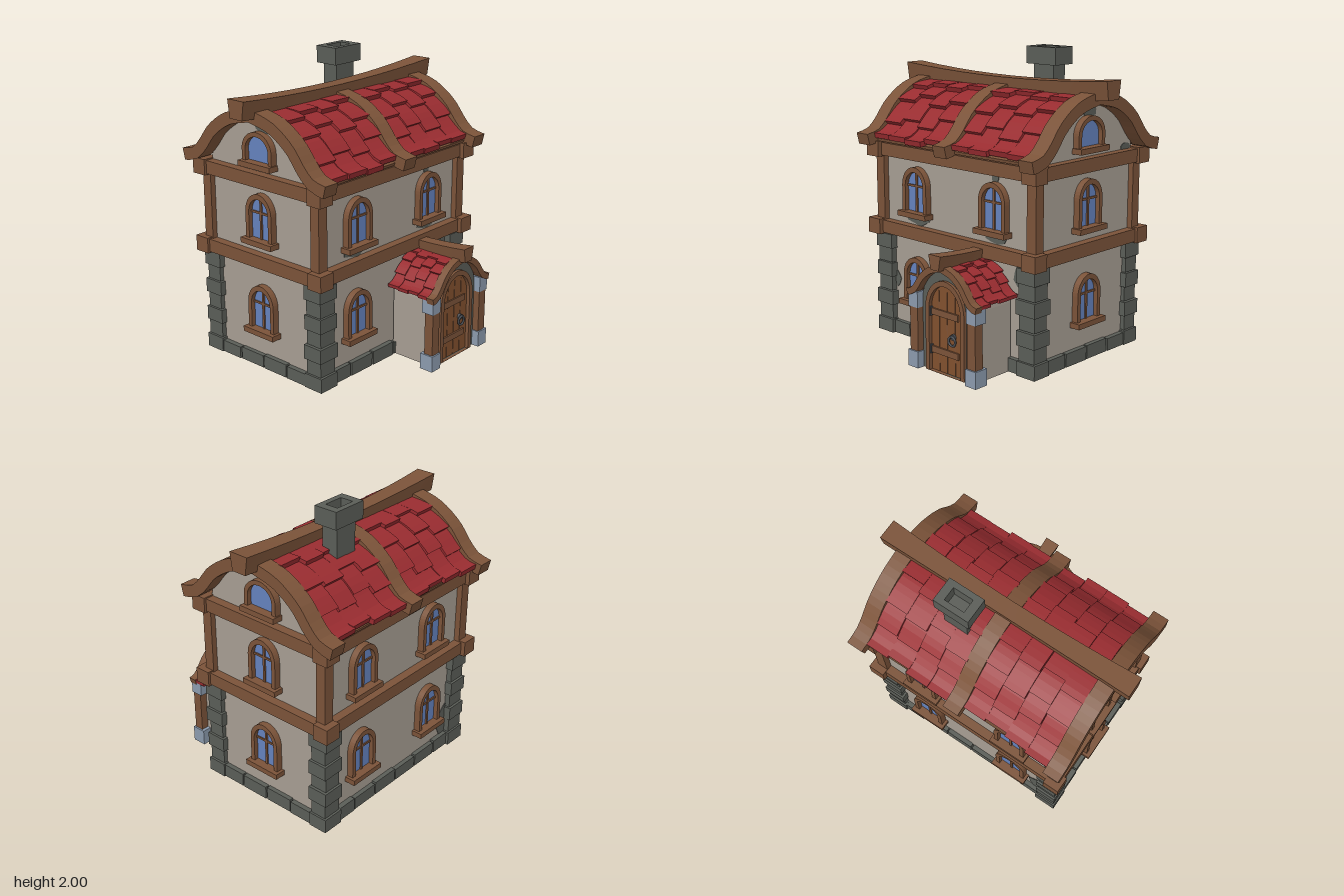
import * as THREE from 'three';

const paint = (hex) => new THREE.MeshStandardMaterial({ color: hex });
const V = (x, y) => new THREE.Vector2(x, y);

export function createModel() {
  const mats = {
    plaster: paint(0xa69d92), wood: paint(0x7b5339), doorWood: paint(0x81502e), tile: paint(0x992c30),
    stone: paint(0x5a5d57), paleStone: paint(0x8b9aad), glass: paint(0x6482bd), iron: paint(0x4b4f55),
  };
  for (const key in mats) mats[key].name = key;
  const house = new THREE.Group();
  house.name = 'house';
  const CX = -0.145, HX = 0.475, HZ = 0.69; // house centre and half sizes

  let seed = 7;
  const rnd = (a, b) => {
    seed = (seed * 16807) % 2147483647;
    return a + (b - a) * (seed / 2147483647);
  };
  const add = (parent, name, geo, mat, x = 0, y = 0, z = 0) => {
    const m = new THREE.Mesh(geo, mat);
    m.name = name;
    m.position.set(x, y, z);
    parent.add(m);
    return m;
  };
  const box = (parent, name, mat, w, h, d, x, y, z) => add(parent, name, new THREE.BoxGeometry(w, h, d), mat, x, y, z);
  const group = (name, x, y, z, ry, parent = house) => {
    const g = new THREE.Group();
    g.name = name;
    g.position.set(x, y, z);
    g.rotation.y = ry;
    parent.add(g);
    return g;
  };
  const extrude = (shape, depth) => new THREE.ExtrudeGeometry(shape, { depth, bevelEnabled: false, curveSegments: 10 });

  // Round-topped outline with half width w
  const arch = (w, y0, spring, top) => {
    const s = new THREE.Shape();
    s.moveTo(-w, y0);
    s.lineTo(w, y0);
    s.lineTo(w, spring);
    s.absellipse(0, spring, w, top - spring, 0, Math.PI, false);
    s.closePath();
    return s;
  };
  const archRing = (outer, inner, depth) => {
    const s = arch(...outer);
    s.holes.push(arch(...inner));
    return extrude(s, depth);
  };

  // Curved slab that follows a roof profile; side is 1 or -1
  const band = (curve, t0, t1, lift0, lift1, thick, depth, side) => {
    const outer = [], inner = [], n = Math.max(3, Math.ceil((t1 - t0) * 14));
    for (let i = 0; i <= n; i++) {
      const t = t0 + (t1 - t0) * i / n, p = curve.getPointAt(t), d = curve.getTangentAt(t);
      const lift = lift0 + (lift1 - lift0) * i / n;
      outer.push(V(side * (p.x - d.y * lift), p.y + d.x * lift));
      inner.push(V(side * (p.x - d.y * (lift - thick)), p.y + d.x * (lift - thick)));
    }
    return extrude(new THREE.Shape([...outer, ...inner.reverse()]), depth);
  };

  // Columns of overlapping shingles on both slopes
  const shingles = (parent, curve, z0, z1, columns, rows, end, sink, thick) => {
    const step = (z1 - z0) / columns;
    for (let c = 0; c < columns; c++) for (const side of [1, -1]) {
      const shift = (c % 2 ? 0.35 : -0.1) / rows * end;
      let t = 0;
      for (let r = 1; r <= rows; r++) {
        const t1 = r === rows ? end + rnd(-0.03, 0.03) : end * r / rows + shift * 0.6 + rnd(-0.03, 0.03);
        const w = step * rnd(0.96, 1.06);
        add(parent, 'roofTile', band(curve, Math.max(0, t - 0.03), t1, sink, sink + thick * rnd(0.7, 1.1), thick, w, side),
          mats.tile, 0, 0, z0 + step * (c + 0.5) - w / 2);
        t = t1;
      }
    }
  };

  // Beam with a trapezoid section whose ends rise and widen
  const saggingBeam = (len, h, wTop, wBottom, rise) => {
    const g = new THREE.BoxGeometry(1, h, len, 1, 1, 10), p = g.attributes.position;
    for (let i = 0; i < p.count; i++) {
      const k = (p.getZ(i) / (len / 2)) ** 2, y = p.getY(i);
      p.setX(i, p.getX(i) * (y > 0 ? wTop : wBottom) * (0.78 + 0.22 * k));
      p.setY(i, y + rise * k);
    }
    g.computeVertexNormals();
    return g;
  };

  // Arched window with sill and glazing bars; y is the sill bottom
  const addWindow = (face, x, y) => {
    const w = group('window', x, y, 0, 0, face);
    add(w, 'windowLining', extrude(arch(0.1, 0.02, 0.21, 0.33), 0.038), mats.stone, 0, 0, -0.034);
    add(w, 'windowFrame', archRing([0.115, 0.02, 0.21, 0.34], [0.085, 0.03, 0.21, 0.305], 0.045), mats.wood);
    add(w, 'windowGlass', extrude(arch(0.088, 0.03, 0.21, 0.308), 0.006), mats.glass, 0, 0, 0.008);
    box(w, 'glazingBar', mats.wood, 0.016, 0.28, 0.016, 0, 0.165, 0.016);
    box(w, 'glazingBar', mats.wood, 0.17, 0.014, 0.014, 0, 0.21, 0.016);
    box(w, 'windowSill', mats.wood, 0.27, 0.036, 0.08, 0, 0.018, 0.035);
  };

  // Bare stone showing through the plaster
  const addPatch = (face, x, y, w, h) => {
    const pts = [];
    for (let i = 0; i < 9; i++) {
      const a = i / 9 * Math.PI * 2, r = rnd(0.75, 1.1);
      pts.push(V(Math.cos(a) * w / 2 * r, Math.sin(a) * h / 2 * r));
    }
    add(face, 'barePatch', extrude(new THREE.Shape(pts), 0.004), mats.stone, x, y, 0);
  };

  const roofCurve = new THREE.SplineCurve([V(0, 1.765), V(0.2, 1.715), V(0.36, 1.61), V(0.46, 1.49), V(0.53, 1.425), V(0.63, 1.4)]);

  // Four sides: wall, plinth stones and floor beams
  const faces = [['front', CX, HZ, 0, HX], ['back', CX, -HZ, Math.PI, HX],
    ['left', CX + HX, 0, Math.PI / 2, HZ], ['right', CX - HX, 0, -Math.PI / 2, HZ]].map(([name, x, z, ry, half]) => {
    const f = group(name + 'Side', x, 0, z, ry);
    box(f, 'wall', mats.plaster, half * 2, 1.31, 0.03, 0, 0.67, -0.015);
    const n = half > 0.5 ? 6 : 4, span = half * 2 - 0.1, w = span / n;
    for (let i = 0; i < n; i++) {
      const h = rnd(0.08, 0.095);
      box(f, 'plinthStone', mats.stone, w - 0.01, h, 0.085, -span / 2 + w * (i + 0.5), 0.008 + h / 2, rnd(-0.014, -0.006));
    }
    for (const y of [0.763, 1.302]) box(f, 'floorBeam', mats.wood, half * 2 + 0.06, 0.088, 0.1, 0, y, 0.01);
    return f;
  });
  const [front, back, left, right] = faces;

  // Gable walls with attic windows
  const edge = [];
  for (let i = 0; i <= 12; i++) {
    const t = 0.78 * i / 12, p = roofCurve.getPointAt(t), d = roofCurve.getTangentAt(t);
    edge.push(V(p.x + d.y * 0.05, p.y - d.x * 0.05));
  }
  const gable = new THREE.Shape([...edge, V(HX, 1.3), V(-HX, 1.3), ...edge.slice(1).reverse().map((p) => V(-p.x, p.y))]);
  for (const f of [front, back]) {
    add(f, 'gableWall', extrude(gable, 0.03), mats.plaster, 0, 0, -0.03);
    add(f, 'atticFrame', archRing([0.13, 1.39, 1.49, 1.61], [0.1, 1.41, 1.49, 1.58], 0.045), mats.wood);
    add(f, 'atticGlass', extrude(arch(0.102, 1.405, 1.49, 1.583), 0.006), mats.glass, 0, 0, 0.008);
    box(f, 'atticSill', mats.wood, 0.28, 0.036, 0.08, 0, 1.398, 0.035);
    addPatch(f, 0.02, 1.64, 0.15, 0.1);
    addPatch(f, 0.4, 1.36, 0.1, 0.06);
    addWindow(f, 0, 0.25);
    addWindow(f, 0, 0.87);
  }
  for (const [f, x, y] of [[left, -0.35, 0.25], [left, -0.35, 0.87], [left, 0.36, 0.87],
    [right, -0.35, 0.25], [right, 0.35, 0.25], [right, -0.35, 0.87], [right, 0.35, 0.87]]) addWindow(f, x, y);
  for (const [f, x, y, w, h] of [[left, -0.35, 0.85, 0.22, 0.09], [left, 0.36, 0.85, 0.2, 0.09], [left, 0.36, 1.23, 0.06, 0.08],
    [left, 0.58, 0.64, 0.14, 0.18], [left, -0.58, 0.4, 0.08, 0.12], [right, 0.57, 0.2, 0.16, 0.26]]) addPatch(f, x, y, w, h);

  // Corners: stacked quoins, upper posts and beam joints
  for (const sx of [-1, 1]) for (const sz of [-1, 1]) {
    const c = group('corner', CX + sx * 0.455, 0, sz * 0.655, 0);
    let y = 0.005;
    for (let i = 0; i < 7; i++) {
      const h = 0.101, big = i % 2 ? 0 : 0.022;
      box(c, 'cornerStone', mats.stone, 0.112 + big + rnd(0, 0.012), h - 0.004, 0.125 + big + rnd(0, 0.012), 0, y + h / 2, 0);
      y += h;
    }
    box(c, 'cornerPost', mats.wood, 0.07, 0.46, 0.075, sx * 0.025, 1.035, sz * 0.035);
    for (const by of [0.763, 1.302]) box(c, 'beamJoint', mats.wood, 0.11, 0.106, 0.115, sx * 0.055, by, sz * 0.055);
  }

  // Main roof
  const roof = group('roof', CX, 0, 0, 0);
  for (const side of [1, -1]) {
    add(roof, 'roofDeck', band(roofCurve, 0, 0.9, -0.045, -0.045, 0.02, 1.38, side), mats.wood, 0, 0, -0.69);
    for (const z of [-0.795, -0.06, 0.68])
      add(roof, 'roofRib', band(roofCurve, 0, 1, 0, 0.008, 0.08, 0.112, side), mats.wood, 0, 0, z);
  }
  shingles(roof, roofCurve, -0.685, -0.055, 4, 4, 0.92, -0.03, 0.036);
  shingles(roof, roofCurve, 0.05, 0.68, 4, 4, 0.92, -0.03, 0.036);
  add(roof, 'ridgeBeam', saggingBeam(1.79, 0.12, 0.14, 0.105, 0.04), mats.wood, 0, 1.74, 0);

  // Chimney with hollow cap
  const chimney = group('chimney', -0.325, 0, -0.22, 0);
  box(chimney, 'chimneyShaft', mats.stone, 0.115, 0.38, 0.17, 0, 1.71, 0);
  const rect = (w, d) => [V(-w, -d), V(w, -d), V(w, d), V(-w, d)];
  const capShape = new THREE.Shape(rect(0.085, 0.125));
  capShape.holes.push(new THREE.Path(rect(0.046, 0.07)));
  add(chimney, 'chimneyCap', extrude(capShape, 0.115), mats.stone, 0, 1.885, 0).rotation.x = -Math.PI / 2;

  // Porch, built facing +z and turned toward +x
  const porch = group('porch', 0, 0, -0.26, Math.PI / 2);
  const porchCurve = new THREE.SplineCurve([V(0, 0.73), V(0.1, 0.7), V(0.18, 0.64), V(0.235, 0.565), V(0.27, 0.53), V(0.31, 0.52)]);
  const porchWall = archRing([0.235, 0.005, 0.46, 0.69], [0.205, 0.0051, 0.46, 0.66], 0.31);
  add(porch, 'porchWall', porchWall, mats.plaster, 0, 0, 0.34);
  add(porch, 'doorwayStone', archRing([0.215, 0.008, 0.46, 0.695], [0.16, 0.009, 0.42, 0.61], 0.04), mats.stone, 0, 0, 0.63);
  add(porch, 'doorFrame', archRing([0.172, 0.008, 0.42, 0.62], [0.14, 0.009, 0.42, 0.585], 0.06), mats.wood, 0, 0, 0.63);
  add(porch, 'door', extrude(arch(0.145, 0.012, 0.42, 0.59), 0.03), mats.doorWood, 0, 0, 0.635);
  for (const x of [-0.07, 0, 0.07]) box(porch, 'doorGroove', mats.wood, 0.005, 0.53, 0.004, x, 0.28, 0.666);
  for (const y of [0.15, 0.4]) {
    box(porch, 'doorHinge', mats.wood, 0.25, 0.042, 0.014, -0.02, y, 0.67);
    box(porch, 'hingePin', mats.iron, 0.022, 0.06, 0.02, -0.14, y, 0.675);
  }
  add(porch, 'knockerPlate', new THREE.CylinderGeometry(0.02, 0.02, 0.02, 8), mats.iron, 0.06, 0.27, 0.672).rotation.x = Math.PI / 2;
  add(porch, 'knockerRing', new THREE.TorusGeometry(0.03, 0.008, 6, 12), mats.iron, 0.06, 0.245, 0.685);
  for (const side of [1, -1]) {
    box(porch, 'porchPost', mats.wood, 0.07, 0.32, 0.065, side * 0.255, 0.26, 0.68);
    box(porch, 'postFoot', mats.paleStone, 0.09, 0.11, 0.1, side * 0.257, 0.062, 0.673);
    box(porch, 'postHead', mats.paleStone, 0.082, 0.105, 0.088, side * 0.257, 0.46, 0.673);
    add(porch, 'porchRib', band(porchCurve, 0, 1, 0, 0.004, 0.042, 0.055, side), mats.wood, 0, 0, 0.67);
    add(porch, 'porchDeck', band(porchCurve, 0, 0.9, -0.025, -0.025, 0.014, 0.33, side), mats.wood, 0, 0, 0.34);
  }
  shingles(porch, porchCurve, 0.34, 0.675, 4, 4, 0.96, -0.016, 0.024);
  add(porch, 'porchRidge', saggingBeam(0.86, 0.095, 0.105, 0.07, 0.028), mats.wood, 0, 0.728, 0.34);
  // Keep only the outer half of the porch ridge
  const ridge = porch.getObjectByName('porchRidge'), rp = ridge.geometry.attributes.position;
  for (let i = 0; i < rp.count; i++) rp.setZ(i, Math.max(rp.getZ(i), 0));
  return house;
}
